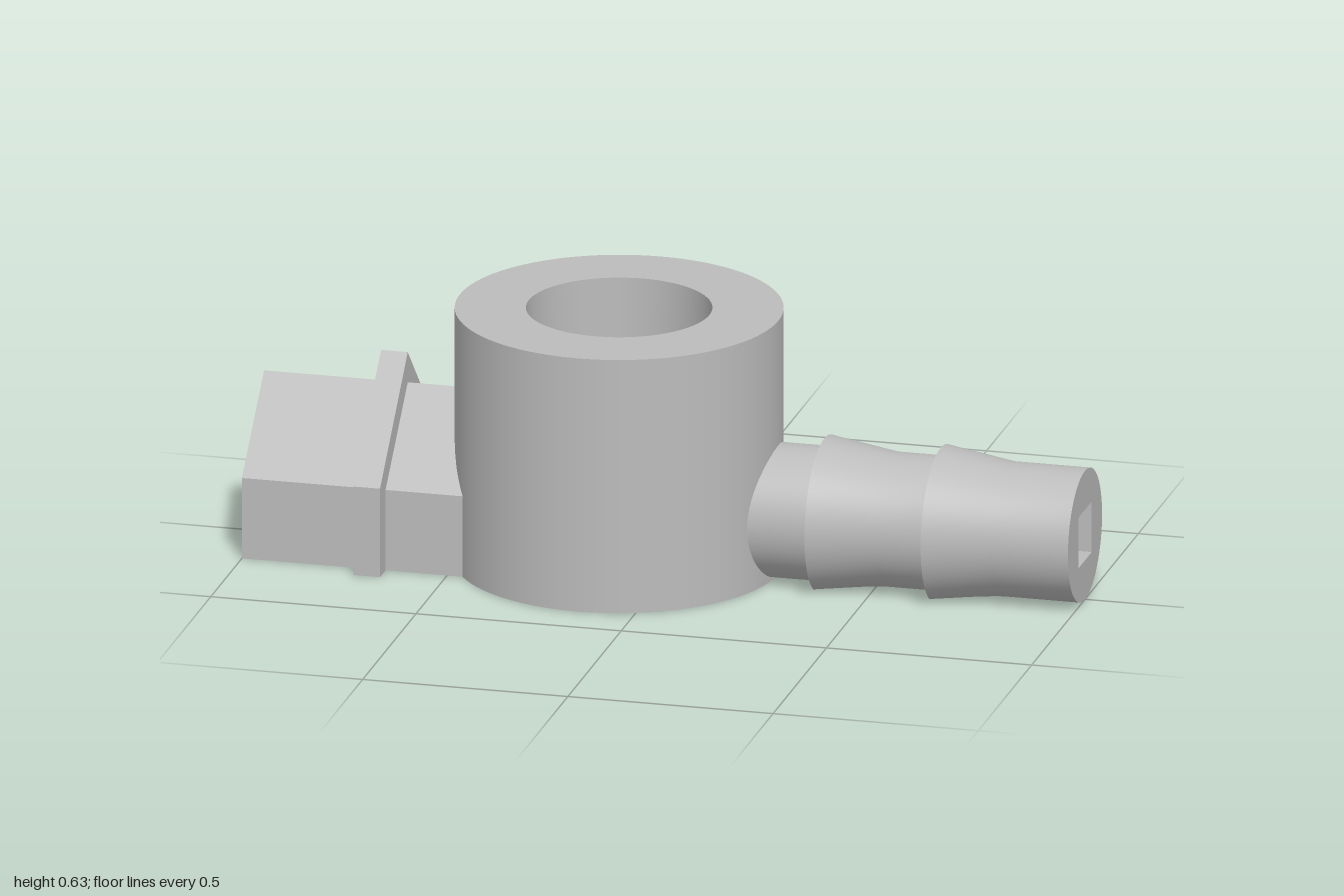
import * as THREE from 'three';
import { toCreasedNormals } from 'three/addons/utils/BufferGeometryUtils.js';

const CX = -0.135, HEIGHT = 0.63, OUTER = 0.388;
const boreRadius = (y) => 0.198 + 0.035 * y;

// Channel cross-sections as [z, y] corners
const housePoints = (half, floor, shoulder, apex) =>
  [[-half, floor], [half, floor], [half, shoulder], [0, apex], [-half, shoulder]];
const houseChannel = housePoints(0.155, 0.06, 0.19, 0.345);
const squareChannel = [[-0.063, 0.097], [0.063, 0.097], [0.063, 0.223], [-0.063, 0.223]];

function makeShape(points, hole) {
  const toVec = (p) => new THREE.Vector2(p[0], p[1]);
  const shape = new THREE.Shape(points.map(toVec));
  if (hole) shape.holes.push(new THREE.Path(hole.map(toVec)));
  return shape;
}

// Extrude a [z, y] section along x
function extrudeX(points, hole, x0, x1) {
  const geo = new THREE.ExtrudeGeometry(makeShape(points, hole), { depth: x1 - x0, bevelEnabled: false });
  return geo.rotateY(Math.PI / 2).translate(x0, 0, 0);
}

function surface(positions, normals) {
  const geo = new THREE.BufferGeometry();
  geo.setAttribute('position', new THREE.Float32BufferAttribute(positions, 3));
  if (normals) geo.setAttribute('normal', new THREE.Float32BufferAttribute(normals, 3));
  else geo.computeVertexNormals();
  return geo;
}

// Round wall with a house opening towards -x and a square one towards +x
function roundWall(radiusAt, inward) {
  const r = radiusAt(0.2), sign = inward ? -1 : 1;
  const houseEdge = Math.asin(0.155 / r), squareEdge = Math.asin(0.063 / r);
  const angles = [squareEdge, 2 * Math.PI - squareEdge, Math.PI - houseEdge, Math.PI + houseEdge];
  for (let i = 0; i <= 96; i++) angles.push((i / 96) * Math.PI * 2);
  angles.sort((a, b) => a - b);
  const positions = [], normals = [];
  const put = (a, y) => {
    positions.push(CX + radiusAt(y) * Math.cos(a), y, radiusAt(y) * Math.sin(a));
    normals.push(sign * Math.cos(a), 0, sign * Math.sin(a));
  };
  const quad = (a, b, a0, a1, b0, b1) => {
    const corners = [[a, a0], [a, a1], [b, b1], [a, a0], [b, b1], [b, b0]];
    if (inward) corners.reverse();
    corners.forEach((c) => put(c[0], c[1]));
  };
  const roof = (a) => 0.345 - Math.abs(r * Math.sin(a));
  for (let i = 0; i < angles.length - 1; i++) {
    const a = angles[i], b = angles[i + 1], mid = (a + b) / 2;
    if (b - a < 1e-6) continue;
    const z = Math.abs(r * Math.sin(mid)), left = Math.cos(mid) < 0;
    if (z < (left ? 0.155 : 0.063)) {
      const floor = left ? 0.06 : 0.097;
      quad(a, b, 0, floor, 0, floor);
      quad(a, b, left ? roof(a) : 0.223, HEIGHT, left ? roof(b) : 0.223, HEIGHT);
    } else quad(a, b, 0, HEIGHT, 0, HEIGHT);
  }
  return surface(positions, normals);
}

// Channel walls running from the curved bore to a flat end
function channelLining(section, side, xEnd) {
  const positions = [], steps = 8;
  const atBore = (z, y) => [CX + side * Math.sqrt(boreRadius(y) ** 2 - z * z), y, z];
  section.forEach((p, i) => {
    const q = section[(i + 1) % section.length];
    for (let k = 0; k < steps; k++) {
      const [c, d] = [k / steps, (k + 1) / steps].map((t) => [p[0] + (q[0] - p[0]) * t, p[1] + (q[1] - p[1]) * t]);
      const a0 = atBore(...c), b0 = atBore(...d);
      const a1 = [xEnd, c[1], c[0]], b1 = [xEnd, d[1], d[0]];
      const corners = [a0, b0, b1, a0, b1, a1];
      if (side > 0) corners.reverse();
      positions.push(...corners.flat());
    }
  });
  return surface(positions);
}

export function createModel() {
  const group = new THREE.Group();
  const grey = new THREE.MeshStandardMaterial({ color: 0xbcbcbc, side: THREE.DoubleSide });
  grey.name = 'light grey';
  const add = (name, geo) => {
    const mesh = new THREE.Mesh(geo, grey);
    mesh.name = name;
    group.add(mesh);
  };

  // Central ring with tapered bore
  add('ringOuterWall', roundWall(() => OUTER, false));
  add('ringBore', roundWall(boreRadius, true));
  add('ringTop', new THREE.RingGeometry(boreRadius(HEIGHT), OUTER, 96).rotateX(-Math.PI / 2).translate(CX, HEIGHT, 0));
  add('ringBottom', new THREE.RingGeometry(boreRadius(0), OUTER, 96).rotateX(Math.PI / 2).translate(CX, 0, 0));

  // House-shaped inlet and its collar
  add('inlet', extrudeX(housePoints(0.208, 0, 0.2, 0.4), houseChannel, -1, -0.42));
  add('inletCollar', extrudeX(housePoints(0.26, 0, 0.22, 0.475), houseChannel, -0.715, -0.65));
  add('inletChannel', channelLining(houseChannel, -1, -0.42));

  // Barbed hose outlet, flattened where it meets the base plane
  const profile = [[0.16, 0.15], [0.16, 0.365], [0.187, 0.365], [0.16, 0.53],
    [0.16, 0.648], [0.187, 0.648], [0.16, 0.815], [0.16, 1]];
  const barb = new THREE.LatheGeometry(profile.map((p) => new THREE.Vector2(p[0], p[1])), 64);
  barb.rotateZ(-Math.PI / 2).translate(0, 0.16, 0);
  const pos = barb.attributes.position;
  for (let i = 0; i < pos.count; i++) pos.setY(i, Math.max(0, pos.getY(i)));
  add('outletBarb', toCreasedNormals(barb, 0.4));

  // Outlet end face and square channel
  const face = new THREE.Shape().absarc(0, 0.16, 0.16, 0, Math.PI * 2);
  face.holes.push(new THREE.Path(squareChannel.map((p) => new THREE.Vector2(p[0], p[1]))));
  add('outletEnd', new THREE.ShapeGeometry(face, 32).rotateY(Math.PI / 2).translate(1, 0, 0));
  add('outletChannel', channelLining(squareChannel, 1, 1));

  return group;
}
